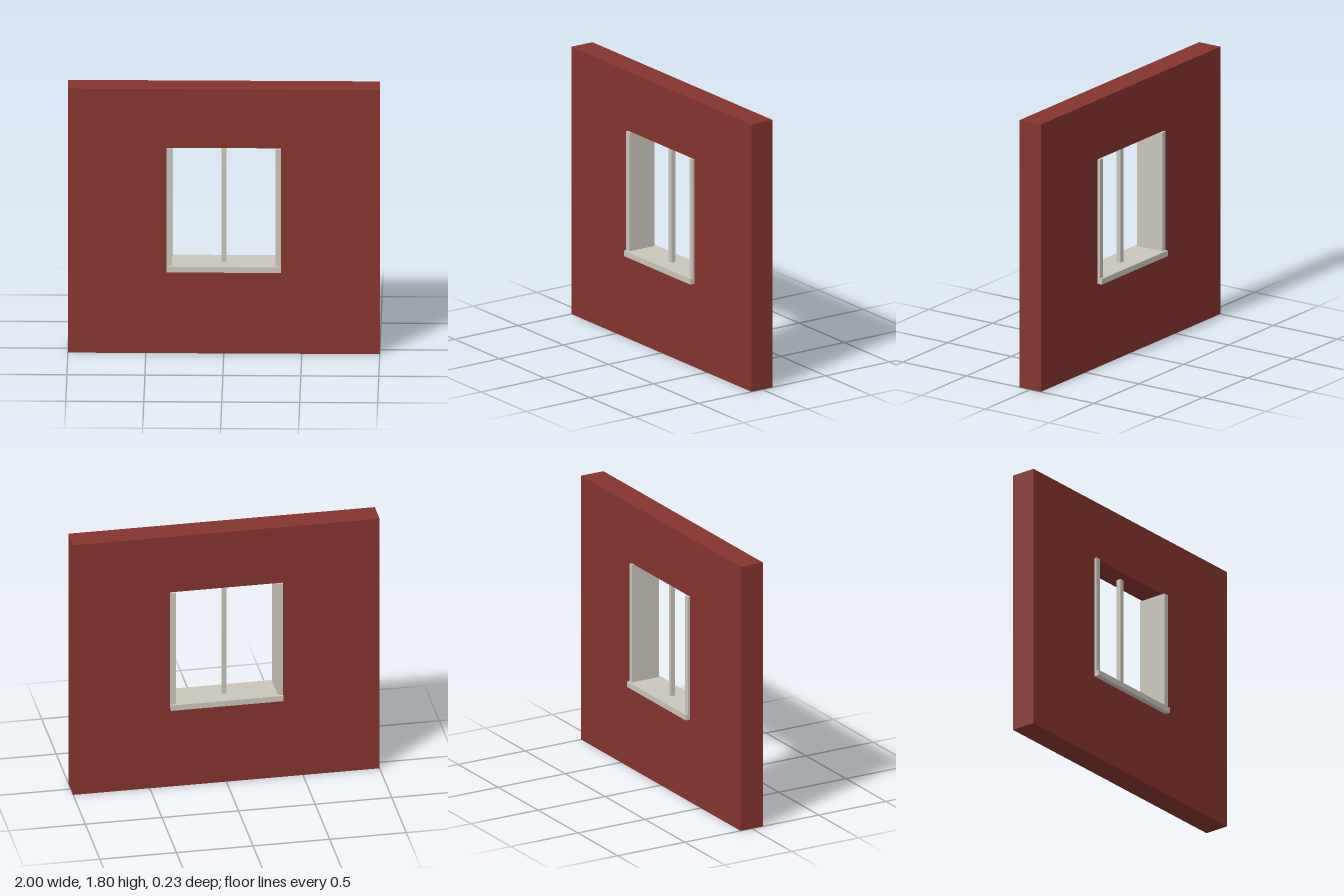
import * as THREE from 'three';

const WALL_DEPTH = 0.166;

export function createModel() {
  const model = new THREE.Group();
  model.name = 'wallWithWindow';

  const brickRed = new THREE.MeshStandardMaterial({ color: 0x84342d });
  brickRed.name = 'brickRed';
  const paleStone = new THREE.MeshStandardMaterial({ color: 0xc8c5ba });
  paleStone.name = 'paleStone';

  // Box placed by its centre x, bottom y and centred on z
  function addBox(name, width, height, depth, x, bottom) {
    const mesh = new THREE.Mesh(new THREE.BoxGeometry(width, height, depth), paleStone);
    mesh.name = name;
    mesh.position.set(x, bottom + height / 2, 0);
    model.add(mesh);
  }

  // Wall slab with the window opening
  const outline = new THREE.Shape();
  outline.moveTo(-1, 0).lineTo(1, 0).lineTo(1, 1.8).lineTo(-1, 1.8).closePath();
  const opening = new THREE.Path();
  opening.moveTo(-0.334, 0.599).lineTo(-0.334, 1.4).lineTo(0.334, 1.4).lineTo(0.334, 0.599).closePath();
  outline.holes.push(opening);
  const wallGeometry = new THREE.ExtrudeGeometry(outline, { depth: WALL_DEPTH, bevelEnabled: false });
  wallGeometry.translate(0, 0, -WALL_DEPTH / 2);
  const wall = new THREE.Mesh(wallGeometry, brickRed);
  wall.name = 'wall';
  model.add(wall);

  // Jambs lining both sides of the opening and standing slightly proud of the wall
  for (const side of [1, -1]) {
    addBox(side > 0 ? 'leftJamb' : 'rightJamb', 0.034, 0.8, 0.2, side * 0.35, 0.6);
  }

  // Sill, projecting furthest on both faces
  addBox('sill', 0.734, 0.038, 0.233, 0, 0.562);

  // Central mullion
  addBox('mullion', 0.03, 0.8, 0.03, 0, 0.6);

  return model;
}
